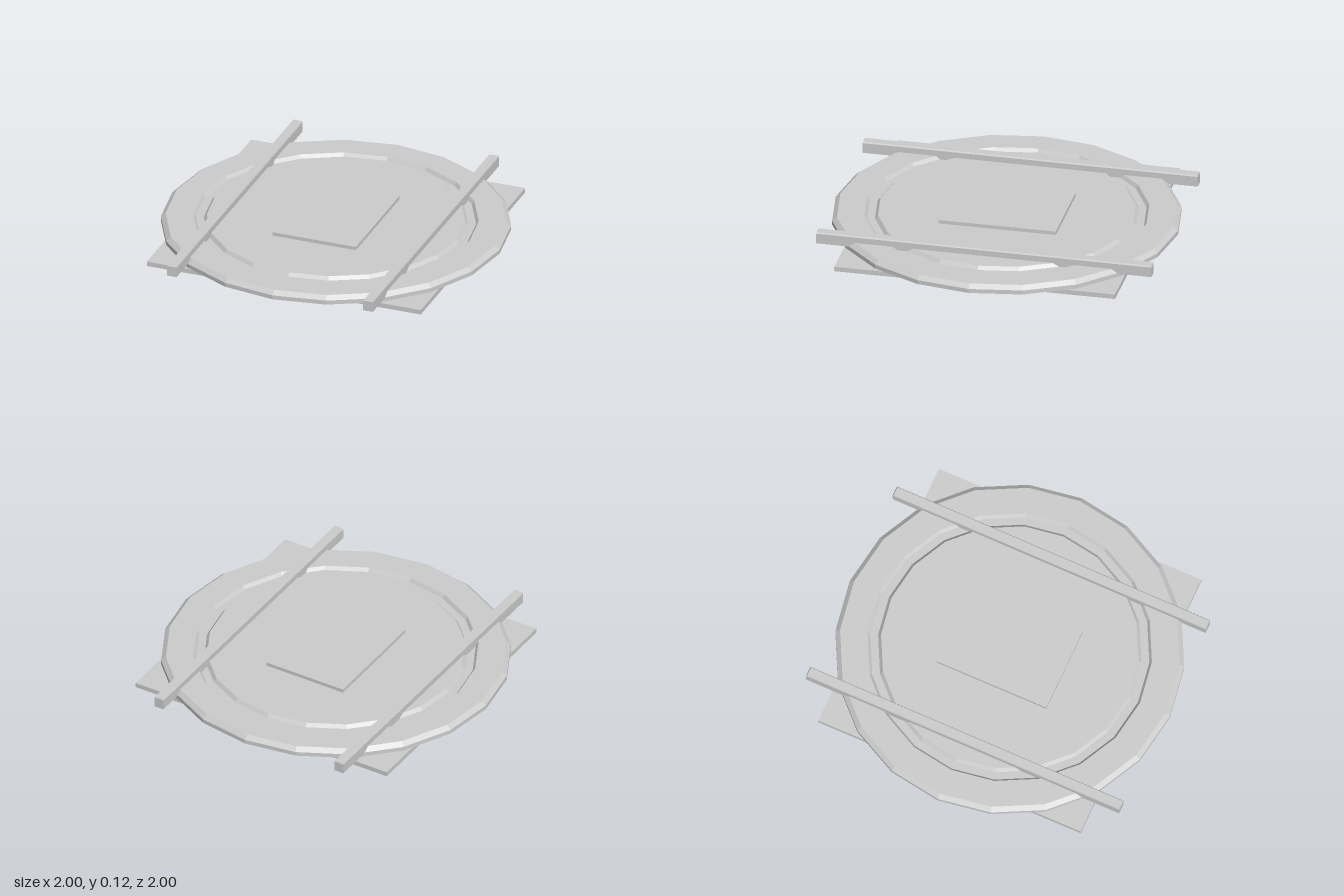
import * as THREE from 'three';

const material = new THREE.MeshStandardMaterial({
  color: 0xcccccc, flatShading: true, side: THREE.DoubleSide,
});

function addPart(group, name, geometry, x = 0, z = 0) {
  const mesh = new THREE.Mesh(geometry, material);
  mesh.name = name;
  mesh.position.set(x, 0, z);
  group.add(mesh);
  return mesh;
}

// Rectangular shell, open underneath, from [width, depth, height] levels listed bottom to top
function shellGeometry(levels) {
  const corners = [[-1, 1], [1, 1], [1, -1], [-1, -1]];
  const positions = levels.flatMap(([w, d, y]) =>
    corners.flatMap(([sx, sz]) => [sx * w / 2, y, sz * d / 2]));
  const index = [];
  for (let level = 0; level < levels.length - 1; level++) {
    for (let i = 0; i < 4; i++) {
      const a = level * 4 + i, b = level * 4 + (i + 1) % 4;
      index.push(a, b, b + 4, a, b + 4, a + 4);
    }
  }
  const top = (levels.length - 1) * 4;
  index.push(top, top + 1, top + 2, top, top + 2, top + 3);
  const indexed = new THREE.BufferGeometry();
  indexed.setAttribute('position', new THREE.Float32BufferAttribute(positions, 3));
  indexed.setIndex(index);
  const geometry = indexed.toNonIndexed();
  geometry.computeVertexNormals();
  return geometry;
}

export function createModel() {
  const model = new THREE.Group();
  model.name = 'hatch';

  // Shallow rectangular tray underneath, open at the bottom
  addPart(model, 'basePlate', shellGeometry([[1.675, 1.64, 0], [1.675, 1.64, 0.028]]));

  // Twenty-sided disc shell with a bevelled rim and a ring groove
  const profile = [
    [1, 0.028], [1, 0.053], [0.973, 0.076],
    [0.815, 0.076], [0.8, 0.056], [0.755, 0.056], [0.738, 0.076], [0, 0.076],
  ].map(([r, y]) => new THREE.Vector2(r, y));
  addPart(model, 'disc', new THREE.LatheGeometry(profile, 20));

  // Raised panel in the middle
  addPart(model, 'centrePanel', shellGeometry([[0.51, 0.686, 0.076], [0.51, 0.686, 0.097]]));

  // Two bars across the disc, chamfered on top and turned very slightly
  const bar = shellGeometry([[0.06, 1.96, 0.049], [0.06, 1.96, 0.11], [0.05, 1.95, 0.118]]);
  for (const [name, x] of [['rightBar', -0.62], ['leftBar', 0.58]]) {
    addPart(model, name, bar, x, -0.002).rotation.y = -0.004;
  }
  return model;
}
